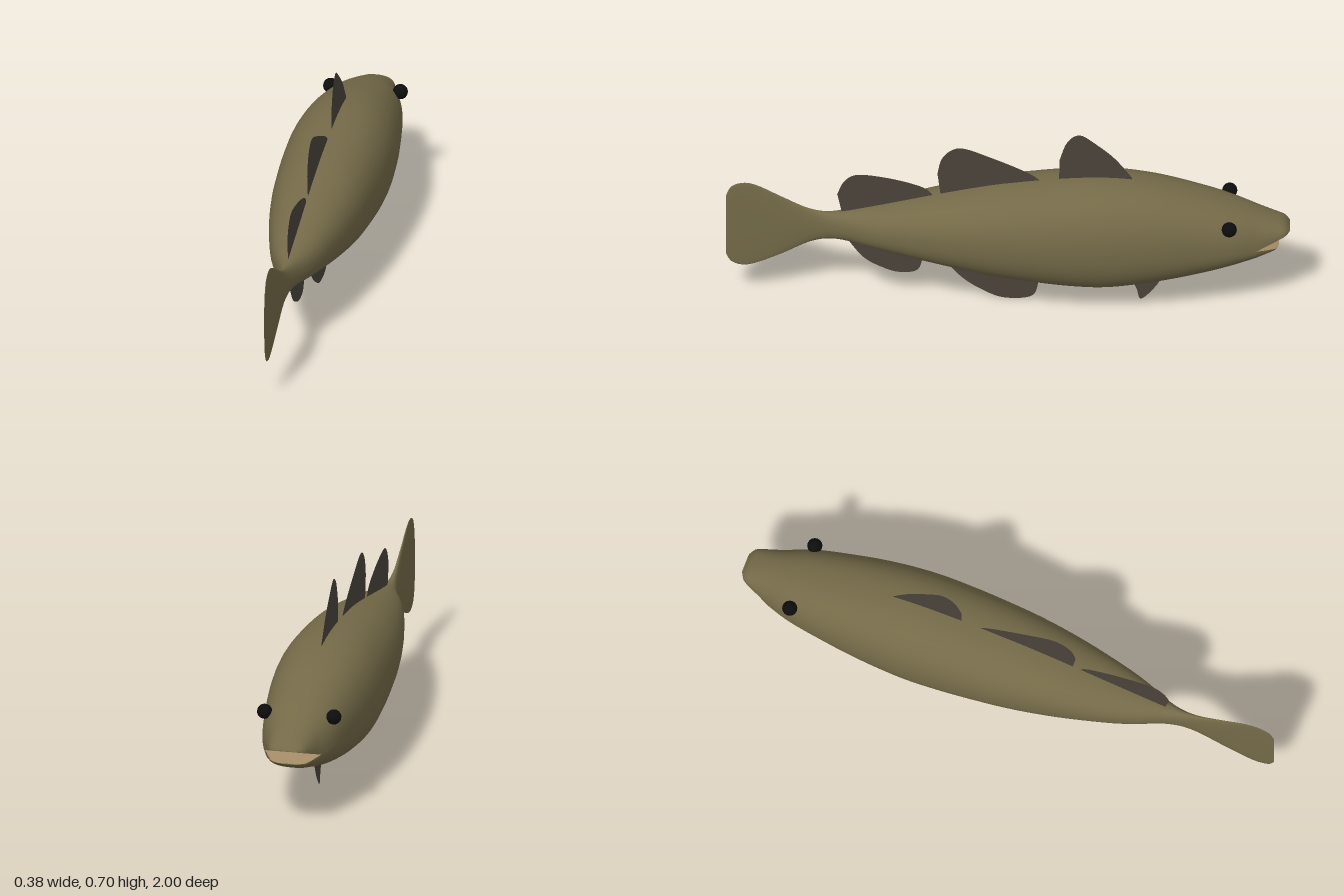
import * as THREE from 'three';
import { mergeGeometries, mergeVertices } from 'three/addons/utils/BufferGeometryUtils.js';

// Smooth interpolation through [z, value] points sorted by falling z
function profile(pts) {
  const n = pts.length;
  const slope = (i) => {
    const a = pts[Math.max(i - 1, 0)], b = pts[Math.min(i + 1, n - 1)];
    return (b[1] - a[1]) / (b[0] - a[0]);
  };
  return (z) => {
    let i = 0;
    while (i < n - 2 && z < pts[i + 1][0]) i++;
    const [z0, v0] = pts[i], [z1, v1] = pts[i + 1];
    const h = z1 - z0, t = (z - z0) / h, t2 = t * t, t3 = t2 * t;
    return (2 * t3 - 3 * t2 + 1) * v0 + (t3 - 2 * t2 + t) * h * slope(i)
      + (3 * t2 - 2 * t3) * v1 + (t3 - t2) * h * slope(i + 1);
  };
}

const halfWidth = profile([[1, 0.003], [0.9, 0.006], [0.8, 0.009], [0.7, 0.014], [0.64, 0.024], [0.58, 0.042],
  [0.5, 0.075], [0.4, 0.105], [0.2, 0.148], [0, 0.174], [-0.3, 0.189], [-0.5, 0.178], [-0.7, 0.15],
  [-0.8, 0.13], [-0.9, 0.095], [-0.96, 0.073], [-0.985, 0.06], [-1, 0.035]]);
const topLine = profile([[1, 0.43], [0.985, 0.467], [0.94, 0.487], [0.89, 0.477], [0.8, 0.428], [0.7, 0.377],
  [0.62, 0.364], [0.5, 0.385], [0.2, 0.453], [0, 0.49], [-0.3, 0.516], [-0.5, 0.5], [-0.7, 0.45],
  [-0.85, 0.398], [-0.95, 0.356], [-0.985, 0.338], [-1, 0.319]]);
const bottomLine = profile([[1, 0.19], [0.985, 0.157], [0.94, 0.138], [0.89, 0.148], [0.8, 0.188], [0.7, 0.24],
  [0.62, 0.256], [0.5, 0.238], [0.2, 0.17], [0, 0.127], [-0.3, 0.092], [-0.5, 0.112], [-0.7, 0.156],
  [-0.88, 0.212], [-0.97, 0.237], [-1, 0.253]]);
const midLine = profile([[1, 0.312], [0.5, 0.311], [0, 0.308], [-0.4, 0.303], [-0.7, 0.287], [-0.88, 0.27]]);

const MOUTH = -0.88;

// Outline values at station z for the upper (side 1) or lower (side -1) half; the jaws part past MOUTH
function station(z, side) {
  const t = Math.max(0, (MOUTH - z) / (1 + MOUTH));
  const mid = midLine(Math.max(z, MOUTH)) + t * (side > 0 ? 0.046 : -0.014);
  return {
    w: halfWidth(z), mid,
    height: Math.max(0.0005, side > 0 ? topLine(z) - mid : mid - bottomLine(z)),
    z: side > 0 ? z : z + t * 0.04,
  };
}

// Skin a list of rows of [x, y, z] points
function loft(rows) {
  const n = rows[0].length, index = [];
  for (let r = 0; r < rows.length - 1; r++)
    for (let i = 0; i < n - 1; i++) {
      const a = r * n + i, b = a + n;
      index.push(a, b, a + 1, a + 1, b, b + 1);
    }
  const g = new THREE.BufferGeometry();
  g.setAttribute('position', new THREE.Float32BufferAttribute(rows.flat(2), 3));
  g.setIndex(index);
  return g;
}

const range = (from, to, n) => Array.from({ length: n + 1 }, (_, i) => from + (to - from) * i / n);
const jawZ = range(MOUTH, -1, 16);
const bodyZ = [...range(1, 0.9, 12), ...range(0.9, MOUTH, 90).slice(1), ...jawZ.slice(1)];

function halfBody(side) {
  const power = 2 / 2.3, seg = 28;
  const bend = (v) => (Math.abs(v) < 1e-9 ? 0 : Math.sign(v) * Math.abs(v) ** power);
  return loft(bodyZ.map((z) => {
    const s = station(z, side);
    return range(0, Math.PI, seg).map((a) => {
      const angle = side > 0 ? a : a + Math.PI;
      return [s.w * bend(Math.cos(angle)), s.mid + s.height * bend(Math.sin(angle)), s.z];
    });
  }));
}

// Thin fin on the centre plane from [z, y] points: straight base ends, rounded outer edge
function finGeometry(points) {
  const shape = new THREE.Shape();
  const [first, ...rest] = points.map(([z, y]) => new THREE.Vector2(z, y));
  const last = rest.pop();
  shape.moveTo(first.x, first.y);
  shape.lineTo(rest[0].x, rest[0].y);
  shape.splineThru(rest.slice(1));
  shape.lineTo(last.x, last.y);
  return new THREE.ShapeGeometry(shape, 5).rotateY(-Math.PI / 2);
}

export function createModel() {
  const model = new THREE.Group();
  const material = (color) => new THREE.MeshStandardMaterial({ color, side: THREE.DoubleSide });
  const skin = material(0x746a48), finSkin = material(0x4a433b);
  const mouthSkin = material(0xa58c66), eyeSkin = material(0x0d0d0d);
  const add = (name, geometry, mat) => {
    const mesh = new THREE.Mesh(geometry, mat);
    mesh.name = name;
    model.add(mesh);
    return mesh;
  };

  // Body with tail fin and both jaws
  const body = mergeVertices(mergeGeometries([halfBody(1), halfBody(-1)]), 1e-5);
  body.computeVertexNormals();
  add('body', body, skin);

  // Mouth lining
  for (const [name, side] of [['palate', 1], ['mouthFloor', -1]]) {
    const g = loft(jawZ.map((z) => {
      const s = station(z, side);
      return [[-side * s.w, s.mid, s.z], [side * s.w, s.mid, s.z]];
    }));
    g.computeVertexNormals();
    add(name, g, mouthSkin);
  }

  // Fins: base end, outer edge, base end
  const fins = {
    frontDorsalFin: [[-0.18, 0.46], [-0.183, 0.59], [-0.21, 0.665], [-0.255, 0.695], [-0.315, 0.655], [-0.38, 0.595],
      [-0.44, 0.515], [-0.44, 0.46]],
    middleDorsalFin: [[0.235, 0.41], [0.25, 0.53], [0.23, 0.6], [0.17, 0.638], [0.06, 0.598], [-0.07, 0.535],
      [-0.115, 0.5], [-0.11, 0.45]],
    rearDorsalFin: [[0.585, 0.345], [0.605, 0.44], [0.58, 0.495], [0.53, 0.523], [0.41, 0.506], [0.3, 0.47],
      [0.265, 0.435], [0.27, 0.39]],
    rearAnalFin: [[0.55, 0.28], [0.565, 0.243], [0.515, 0.175], [0.46, 0.137], [0.39, 0.11], [0.32, 0.12],
      [0.3, 0.19], [0.3, 0.24]],
    frontAnalFin: [[0.23, 0.22], [0.235, 0.175], [0.165, 0.09], [0.09, 0.035], [0.01, 0.002], [-0.09, 0.015],
      [-0.11, 0.11], [-0.11, 0.16]],
    pelvicFin: [[-0.43, 0.16], [-0.432, 0.095], [-0.455, 0.045], [-0.472, 0], [-0.525, 0.055], [-0.562, 0.125],
      [-0.56, 0.17]],
  };
  for (const [name, points] of Object.entries(fins)) add(name, finGeometry(points), finSkin);

  // Eyes
  for (const [name, side] of [['leftEye', 1], ['rightEye', -1]])
    add(name, new THREE.SphereGeometry(0.027, 16, 12), eyeSkin).position.set(side * 0.126, 0.38, -0.785);

  return model;
}
